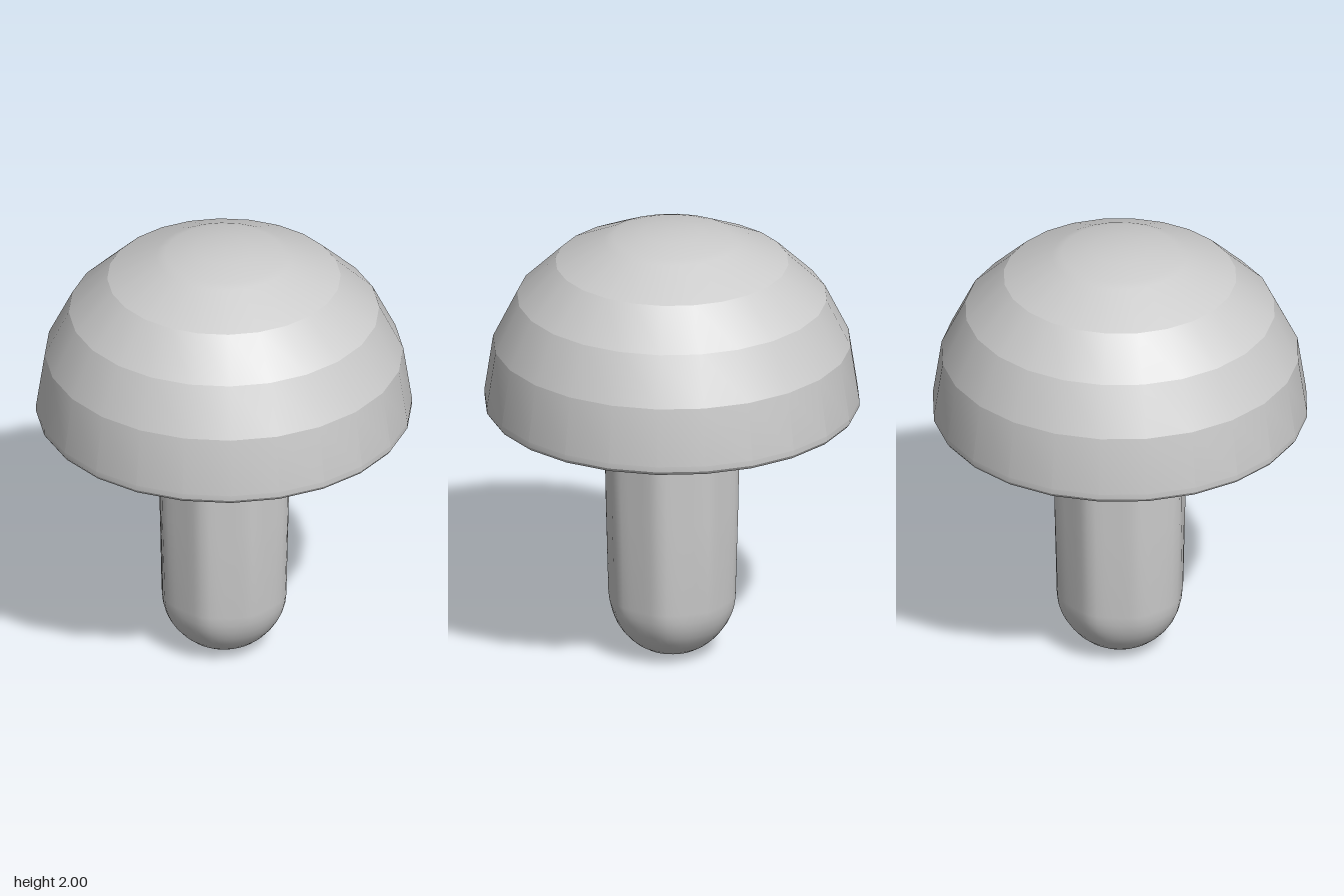
import * as THREE from 'three';
import { toCreasedNormals } from 'three/addons/utils/BufferGeometryUtils.js';

const material = new THREE.MeshStandardMaterial({ color: 0xcccccc });

// Turns [radius, height] pairs, listed bottom to top, around the y axis
function turned(points, segments) {
  return new THREE.LatheGeometry(points.map(([r, y]) => new THREE.Vector2(r, y)), segments);
}

function part(name, geometry) {
  const mesh = new THREE.Mesh(geometry, material);
  mesh.name = name;
  return mesh;
}

export function createModel() {
  const group = new THREE.Group();
  group.name = 'mushroom';

  // Cap: nearly flat underside, small rounded rim, banded dome
  const cap = turned([
    [0, 1.15], [0.29, 1.153], [0.74, 1.163], [0.8, 1.167], [0.818, 1.174], [0.829, 1.19], [0.83, 1.215],
    [0.791, 1.475], [0.685, 1.69], [0.515, 1.855], [0.3, 1.957],
    [0.26, 1.97], [0.13, 1.994], [0, 2],
  ], 24);
  group.add(part('cap', toCreasedNormals(cap, THREE.MathUtils.degToRad(17))));

  // Stem: rounded foot, then a slightly flaring shaft
  const foot = 0.275;
  const profile = [];
  for (let i = 0; i <= 10; i++) {
    const a = (i / 10) * Math.PI / 2;
    profile.push([foot * Math.sin(a), foot * (1 - Math.cos(a))]);
  }
  profile.push([0.282, 0.7], [0.29, 1.17]);
  const stem = turned(profile, 48);

  // Swell the shaft into a soft-cornered octagon, fading to round at the foot
  const pos = stem.attributes.position;
  const side = Math.PI / 4;
  for (let i = 0; i < pos.count; i++) {
    const x = pos.getX(i), y = pos.getY(i), z = pos.getZ(i);
    const angle = Math.atan2(z, x);
    const off = angle - Math.round(angle / side) * side;
    const swell = Math.min(1 / Math.cos(off), 1.06) - 1;
    const k = 1 + swell * THREE.MathUtils.smoothstep(y, 0.05, 0.4);
    pos.setXYZ(i, x * k, y, z * k);
  }
  group.add(part('stem', toCreasedNormals(stem, Math.PI / 3)));

  return group;
}
